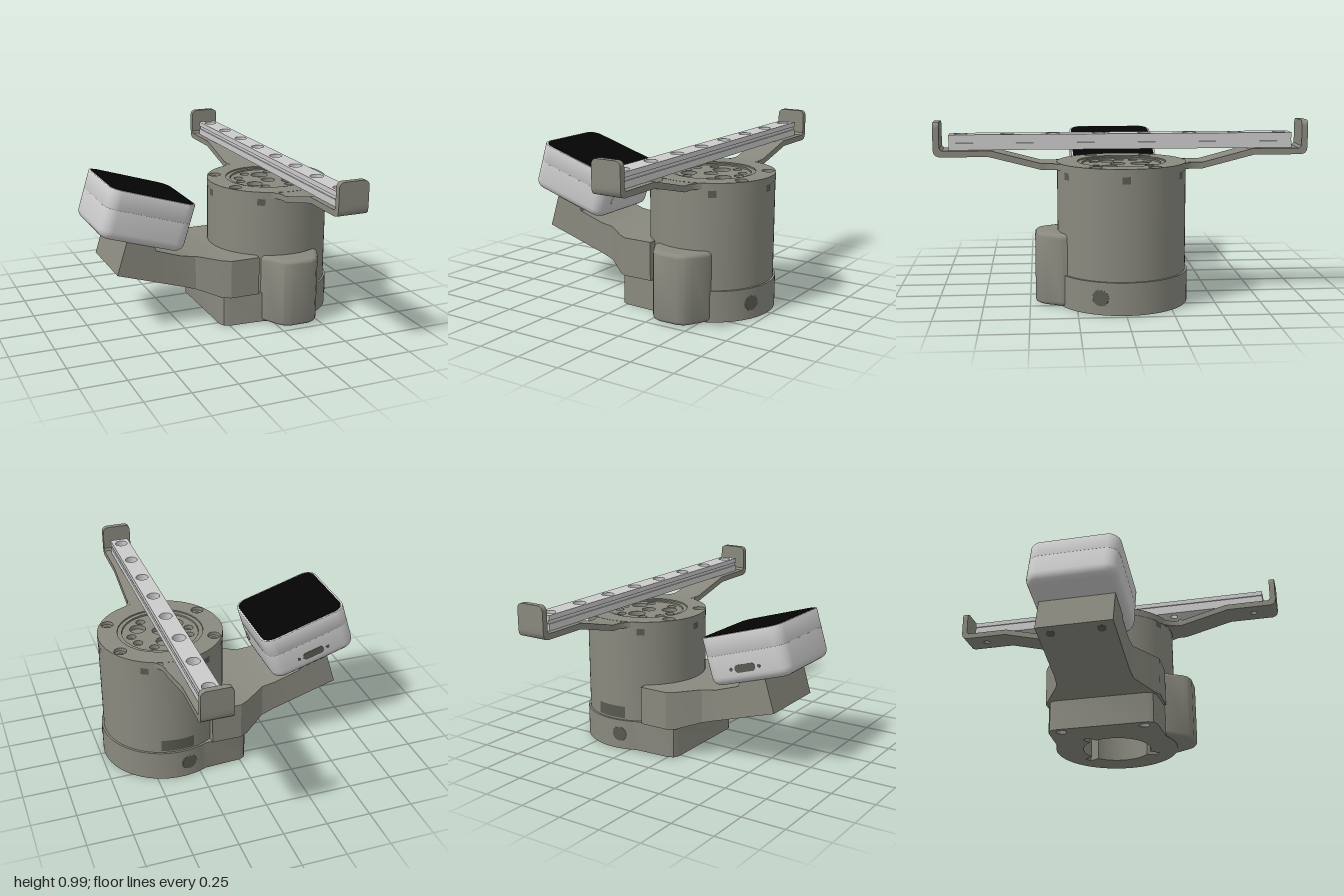
import * as THREE from 'three';
import { toCreasedNormals } from 'three/addons/utils/BufferGeometryUtils.js';

const mat = color => new THREE.MeshStandardMaterial({ color });
const BODY = mat(0x89897f), DARK = mat(0x5a5a53), SILVER = mat(0xc4c4c5), BLACK = mat(0x040404);
const CX = 0.365; // axis of the drum
const R = 0.35;

function add(parent, name, geo, material = BODY, pos = [0, 0, 0]) {
  const m = new THREE.Mesh(geo, material);
  m.name = name;
  m.position.set(...pos);
  parent.add(m);
  return m;
}

// Plan outline of [x, z] points raised from y0 to y1; holes are [x, z, r] or point lists
function slab(pts, y0, y1, holes = [], bevel = 0) {
  const toV = ([x, z]) => new THREE.Vector2(x, -z);
  const outline = pts.map(toV);
  if (THREE.ShapeUtils.isClockWise(outline)) outline.reverse(); // keeps hole walls facing inwards
  const shape = new THREE.Shape(outline);
  for (const h of holes) {
    const p = new THREE.Path();
    if (Array.isArray(h[0])) p.setFromPoints(h.map(toV));
    else p.absarc(h[0], -h[1], h[2], 0, Math.PI * 2, true);
    shape.holes.push(p);
  }
  const geo = new THREE.ExtrudeGeometry(shape, {
    depth: y1 - y0 - 2 * bevel, curveSegments: 12, bevelEnabled: bevel > 0,
    bevelThickness: bevel, bevelSize: bevel, bevelOffset: -bevel, bevelSegments: 5,
  });
  geo.rotateX(-Math.PI / 2).translate(0, y0 + bevel, 0);
  return toCreasedNormals(geo, 0.5);
}

// Points of a circle arc in plan, angles in degrees
function arc(cx, cz, r, a0, a1, n) {
  return Array.from({ length: n + 1 }, (_, i) => {
    const a = (a0 + (a1 - a0) * i / n) * Math.PI / 180;
    return [cx + r * Math.cos(a), cz + r * Math.sin(a)];
  });
}

function roundRect(a, b, r) {
  return [[1, 1, 0], [-1, 1, 90], [-1, -1, 180], [1, -1, 270]]
    .flatMap(([sx, sz, a0]) => arc(sx * (a - r), sz * (b - r), r, a0, a0 + 90, 8));
}

// Side profile of [z, y] points, extruded across x and centred on x = 0
function sideProfile(pts, width) {
  const shape = new THREE.Shape(pts.map(([z, y]) => new THREE.Vector2(z, y)));
  const geo = new THREE.ExtrudeGeometry(shape, { depth: width, bevelEnabled: false });
  return toCreasedNormals(geo.translate(0, 0, -width / 2).rotateY(-Math.PI / 2), 0.6);
}

// Four-cornered cross-sections [xBottom, yBottom, xTop, yTop, halfWidth] joined into a solid
function loft(sections) {
  const pos = [], idx = [], n = sections.length;
  for (const [xb, yb, xt, yt, w] of sections) pos.push(xb, yb, w, xt, yt, w, xt, yt, -w, xb, yb, -w);
  for (let i = 0; i < n - 1; i++)
    for (let k = 0; k < 4; k++) {
      const a = i * 4 + k, b = i * 4 + (k + 1) % 4;
      idx.push(a, b, b + 4, a, b + 4, a + 4);
    }
  const e = (n - 1) * 4;
  idx.push(0, 2, 1, 0, 3, 2, e, e + 1, e + 2, e, e + 2, e + 3);
  const geo = new THREE.BufferGeometry();
  geo.setAttribute('position', new THREE.Float32BufferAttribute(pos, 3));
  geo.setIndex(idx);
  return toCreasedNormals(geo, 0.2);
}

function buildDrum(g) {
  // Base with two corner feet, slotted socket and screw holes
  const outline = [...arc(CX, 0, 0.36, -115, 115, 56), [0, 0.315], [-0.03, 0.3], [-0.045, 0.27],
    [-0.045, -0.27], [-0.03, -0.3], [0, -0.315]];
  const socket = Array.from({ length: 120 }, (_, i) => {
    const slot = [59, 212, 305].some(d => Math.abs(i * 3 - d) < 7);
    return arc(CX, 0, slot ? 0.26 : 0.2, i * 3, i * 3, 1)[0];
  });
  add(g, 'base', slab(outline, 0, 0.175, [socket, [0.005, 0.24, 0.03], [0.005, -0.24, 0.03]]));

  add(g, 'drum', new THREE.CylinderGeometry(R - 0.002, R - 0.002, 0.575, 72), BODY, [CX, 0.4375, 0]);

  // Radial screw holes in the base
  for (const deg of [22, -98]) {
    const mount = new THREE.Group();
    mount.name = 'sideHoleMount';
    mount.position.set(CX, 0.09, 0);
    mount.rotation.y = -deg * Math.PI / 180;
    add(mount, 'sideHole', new THREE.CylinderGeometry(0.042, 0.042, 0.02, 24).rotateZ(Math.PI / 2), DARK, [0.351, 0, 0]);
    add(mount, 'sideHoleRim', new THREE.TorusGeometry(0.042, 0.003, 6, 28).rotateY(Math.PI / 2), BODY, [0.358, 0, 0]);
    g.add(mount);
  }
  // Curved panels on the drum wall: vent notches under the lid and a cable slot
  const wallPanel = (name, deg, width, y, height) => {
    const t = width / R;
    const geo = new THREE.CylinderGeometry(R - 0.001, R - 0.001, height, 8, 1, true, Math.PI / 2 - deg * Math.PI / 180 - t / 2, t);
    add(g, name, geo, DARK, [CX, y, 0]);
  };
  for (let i = 0; i < 6; i++) wallPanel('ventNotch', i * 60, 0.045, 0.706, 0.038);
  wallPanel('cableSlot', -88, 0.19, 0.22, 0.07);

  // Lid ring with screws, and recessed hub with its bolt holes
  const lidScrews = [30, 150, 210, 330].map(d => [...arc(CX, 0, 0.307, d, d, 1)[0], 0.035]);
  add(g, 'lid', slab(arc(CX, 0, R, 0, 355, 71), 0.725, 0.765, [[CX, 0, 0.24], ...lidScrews]));
  for (const [x, z] of lidScrews) {
    add(g, 'lidScrew', new THREE.CylinderGeometry(0.03, 0.03, 0.025, 20), BODY, [x, 0.737, z]);
    add(g, 'lidScrewSocket', new THREE.CylinderGeometry(0.016, 0.016, 0.004, 6), DARK, [x, 0.75, z]);
  }
  const ringHoles = [0, 27, 63, 117, 153, 180, 243, 297].map(d => [...arc(CX, 0, 0.165, -d, -d, 1)[0], 0.026]);
  const hubHoles = [...ringHoles, [0.255, 0.075, 0.045], [0.475, 0.075, 0.045], [CX, -0.1, 0.05], [CX, 0.02, 0.04]];
  add(g, 'hubRim', slab(arc(CX, 0, 0.238, 0, 355, 71), 0.72, 0.758, [[CX, 0, 0.215]]));
  add(g, 'hub', slab(arc(CX, 0, 0.212, 0, 355, 71), 0.72, 0.75, hubHoles));

  // Cable cover bulging from the front
  const cover = [[0.195, 0.22], [0.195, 0.33], [0.245, 0.42], [0.27, 0.452], [0.31, 0.47],
    [0.43, 0.47], [0.468, 0.452], [0.493, 0.42], [0.54, 0.33], [0.54, 0.22]];
  add(g, 'cableCover', slab(cover, 0.003, 0.395, [], 0.025));
}

function buildRail(g) {
  // Cranked bracket, made once and turned for the other side
  for (const turn of [0, Math.PI]) {
    const b = new THREE.Group();
    b.name = turn ? 'backBracket' : 'frontBracket';
    b.position.x = CX;
    b.rotation.y = turn;
    const W = 0.17;
    add(b, 'bracketSlope', sideProfile([[0.3, 0.73], [0.43, 0.73], [0.71, 0.802], [0.8, 0.802],
      [0.8, 0.835], [0.7, 0.835], [0.43, 0.764], [0.3, 0.764]], W));
    add(b, 'bracketSeat', slab([[-W / 2, 0.8], [W / 2, 0.8], [W / 2, 0.92], [-W / 2, 0.92]], 0.802, 0.835, [[0, 0.86, 0.02]]));
    add(b, 'bracketCorner', sideProfile([[0.92, 0.802], [0.965, 0.802], [0.985, 0.808], [0.996, 0.82], [1, 0.84],
      [1, 0.87], [0.967, 0.87], [0.967, 0.848], [0.955, 0.835], [0.92, 0.835]], W));
    // Upright end stop with rounded top corners
    const stop = [[-W / 2, 0.87], [W / 2, 0.87], ...arc(W / 2 - 0.03, 0.955, 0.03, 0, 90, 6),
      ...arc(-W / 2 + 0.03, 0.955, 0.03, 90, 180, 6)].map(p => new THREE.Vector2(...p));
    add(b, 'endStop', toCreasedNormals(new THREE.ExtrudeGeometry(new THREE.Shape(stop), { depth: 0.033, bevelEnabled: false }), 0.5),
      BODY, [0, 0, 0.967]);
    // Flared fillets where the bracket meets the drum
    for (const s of [-1, 1])
      add(b, 'bracketFillet', slab([[s * 0.08, 0.3], [s * 0.15, 0.305], [s * 0.11, 0.34], [s * 0.091, 0.37], [s * 0.085, 0.41], [s * 0.08, 0.41]], 0.731, 0.763));
    g.add(b);
  }
  // Linear rail in three layers, with counterbored holes
  const rail = new THREE.Group();
  rail.name = 'rail';
  rail.position.x = CX - 0.002;
  for (const [w, y0, y1, r] of [[0.053, 0.835, 0.872, 0.022], [0.046, 0.872, 0.89, 0.036], [0.053, 0.89, 0.917, 0.036]]) {
    const holes = Array.from({ length: 8 }, (_, i) => [0, -0.86 + i * 0.2457, r]);
    add(rail, 'railLayer', slab([[-w, -0.92], [w, -0.92], [w, 0.92], [-w, 0.92]], y0, y1, holes), SILVER);
  }
  g.add(rail);
}

function buildArmAndDisplay(g) {
  // Tapering arm ending in a tilted pad
  add(g, 'arm', loft([[0.17, 0.175, 0.17, 0.395, 0.335], [0, 0.175, 0, 0.395, 0.335], [-0.045, 0.175, -0.045, 0.396, 0.31],
    [-0.17, 0.214, -0.17, 0.41, 0.22], [-0.25, 0.239, -0.25, 0.42, 0.213], [-0.4, 0.285, -0.4, 0.47, 0.213],
    [-0.43, 0.295, -0.415, 0.52, 0.213], [-0.625, 0.355, -0.56, 0.565, 0.213]]));
  // Screw holes under the arm end
  for (const z of [-0.14, 0.14])
    add(g, 'armScrewHole', new THREE.CylinderGeometry(0.024, 0.024, 0.006, 20).rotateZ(-0.3), DARK, [-0.57, 0.34, z]);

  // Casing: rounded lower shell, upper shell, dark glass
  const d = new THREE.Group();
  d.name = 'display';
  d.position.set(-0.447, 0.655, 0);
  d.rotation.z = -0.3;
  add(d, 'lowerShell', slab(roundRect(0.257, 0.254, 0.07), -0.145, 0.07, [], 0.05), SILVER);
  add(d, 'upperShell', slab(roundRect(0.257, 0.254, 0.07), 0.026, 0.135, [], 0.003), SILVER);
  add(d, 'screen', slab(roundRect(0.246, 0.243, 0.06), 0.12, 0.137), BLACK);
  // Connector on the back wall, round button on the inner wall
  const port = slab(roundRect(0.065, 0.022, 0.02), 0, 0.006).rotateX(-Math.PI / 2);
  add(d, 'port', port, DARK, [0, -0.06, -0.25]);
  for (const s of [-1, 1])
    add(d, 'portScrew', new THREE.CylinderGeometry(0.01, 0.01, 0.006, 14).rotateX(Math.PI / 2), DARK, [s * 0.09, -0.06, -0.253]);
  add(d, 'button', new THREE.CylinderGeometry(0.028, 0.028, 0.008, 24).rotateZ(Math.PI / 2), mat(0xd8d8da), [0.255, -0.04, 0.14]);
  g.add(d);
}

export function createModel() {
  const g = new THREE.Group();
  g.name = 'railTurntable';
  buildDrum(g);
  buildRail(g);
  buildArmAndDisplay(g);
  return g;
}
